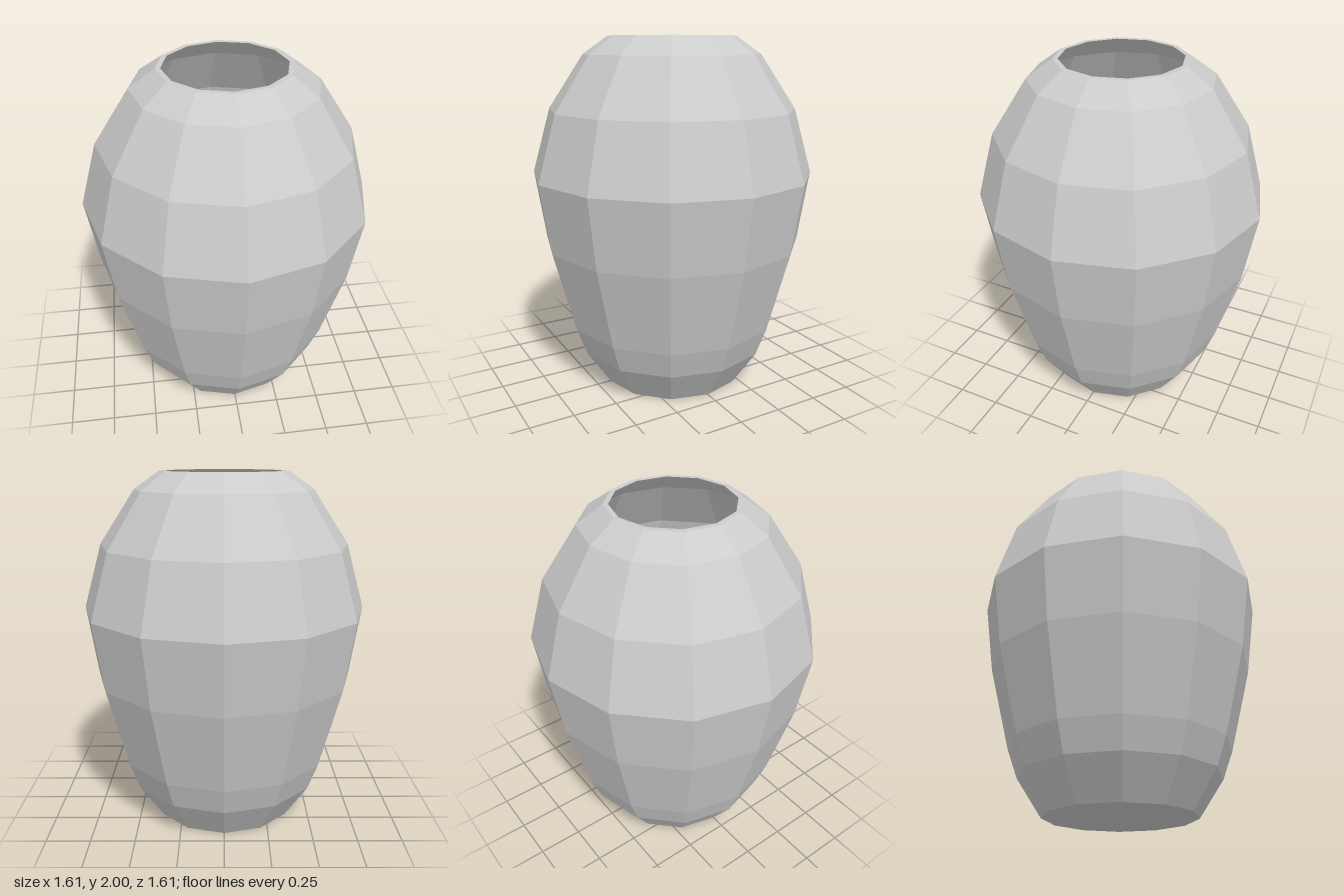
import * as THREE from 'three';

const SIDES = 12;

// Radius and height pairs, from the foot up to the rim
const OUTER = [[0.42, 0], [0.56, 0.21], [0.62, 0.37], [0.745, 0.84], [0.805, 1.235], [0.7, 1.6], [0.5, 1.9], [0.358, 2]];
// Inside of the wall, from the rim down to the floor
const INNER = [[0.33, 2], [0.482, 1.88], [0.673, 1.59], [0.775, 1.235], [0.715, 0.84], [0.59, 0.375], [0.532, 0.22], [0.405, 0.03]];

function turned(name, profile, material) {
  const points = profile.map(([r, y]) => new THREE.Vector2(r, y));
  const mesh = new THREE.Mesh(new THREE.LatheGeometry(points, SIDES), material);
  mesh.name = name;
  return mesh;
}

export function createModel() {
  const model = new THREE.Group();
  model.name = 'vase';
  const material = new THREE.MeshStandardMaterial({ color: 0xcccccc, flatShading: true });

  model.add(
    // Outer wall with the closed base
    turned('outerWall', [[0, 0], ...OUTER], material),
    // Flat ring around the mouth
    turned('rim', [OUTER.at(-1), INNER[0]], material),
    // Hollow inside with its floor
    turned('innerWall', [...INNER, [0, 0.03]], material)
  );
  return model;
}
